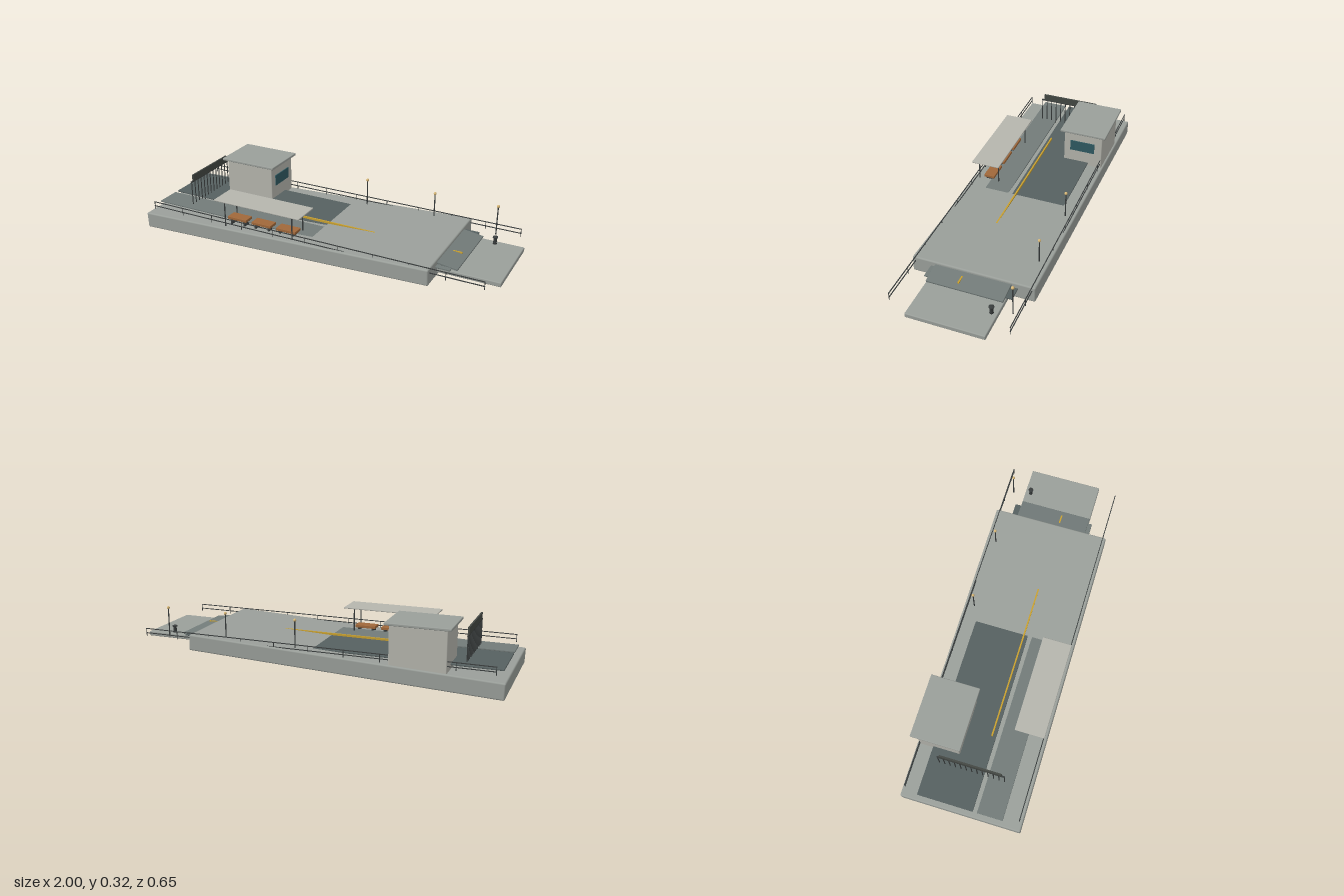
import * as THREE from 'three';
import { RoundedBoxGeometry } from 'three/addons/geometries/RoundedBoxGeometry.js';

const mat = (color) => new THREE.MeshStandardMaterial({ color });
const M = {
  deck: mat(0x9a9f9a), wall: mat(0xb5b5ad), darkPanel: mat(0x566060), panel: mat(0x727b79),
  metal: mat(0x3a3e3e), board: mat(0x444844), glass: mat(0x2f5a62), wood: mat(0xa0683a),
  yellow: mat(0xc8a030), lamp: mat(0xd8b878),
};

export function createModel() {
  const root = new THREE.Group();

  const add = (name, geometry, material, x, y, z, parent = root) => {
    const mesh = new THREE.Mesh(geometry, material);
    mesh.name = name;
    mesh.position.set(x, y, z);
    parent.add(mesh);
    return mesh;
  };
  // Box given by its limits on each axis, with optional rounded edges
  const box = (name, material, [x0, x1], [y0, y1], [z0, z1], r = 0, parent = root) => {
    const s = [x1 - x0, y1 - y0, z1 - z0];
    const g = r ? new RoundedBoxGeometry(...s, 2, r) : new THREE.BoxGeometry(...s);
    return add(name, g, material, (x0 + x1) / 2, (y0 + y1) / 2, (z0 + z1) / 2, parent);
  };
  // Upright round post
  const post = (name, material, x, z, y0, y1, r, parent = root) =>
    add(name, new THREE.CylinderGeometry(r, r, y1 - y0, 10), material, x, (y0 + y1) / 2, z, parent);
  const group = (name) => {
    const g = new THREE.Group();
    g.name = name;
    root.add(g);
    return g;
  };

  // Sloping main slab and level end platform
  const slab = add('mainSlab', new RoundedBoxGeometry(1.678, 0.086, 0.64, 3, 0.008), M.deck, -0.16, 0.0765, 0.004);
  slab.rotation.z = 0.04;
  box('endPlatform', M.deck, [0.64, 1], [0.086, 0.111], [-0.198, 0.205], 0.005);

  // Level floor panels that sink into the slope
  box('darkFloorPanel', M.darkPanel, [-0.975, 0.752], [0.118, 0.126], [-0.228, 0.068], 0.002);
  box('floorPanel', M.panel, [-0.975, 0.752], [0.118, 0.126], [0.09, 0.225], 0.002);
  box('yellowStrip', M.yellow, [-0.58, 0.752], [0.122, 0.137], [0.042, 0.05]);

  // Ramp down to the platform
  const ramp = box('ramp', M.panel, [0.635, 0.783], [0.126, 0.136], [-0.195, 0.202], 0.002);
  ramp.rotation.z = -0.14;

  // Cabin
  const cabin = group('cabin');
  box('cabinWalls', M.wall, [-0.717, -0.425], [0.09, 0.31], [-0.305, -0.084], 0.005, cabin);
  box('cabinRoof', M.deck, [-0.738, -0.405], [0.311, 0.325], [-0.325, -0.064], 0.004, cabin);
  box('cabinWindow', M.glass, [-0.43, -0.42], [0.196, 0.257], [-0.261, -0.121], 0, cabin);

  // Canopy on four posts
  const canopy = group('canopy');
  box('canopyRoof', M.wall, [-0.543, -0.027], [0.251, 0.259], [0.157, 0.313], 0.003, canopy);
  for (const x of [-0.49, -0.08])
    for (const z of [0.18, 0.292]) post('canopyPost', M.metal, x, z, 0.1, 0.252, 0.0035, canopy);

  // Benches below the canopy
  for (const x of [-0.435, -0.285, -0.135]) {
    const bench = group('bench');
    box('benchSeat', M.wood, [x - 0.058, x + 0.058], [0.137, 0.152], [0.205, 0.265], 0.002, bench);
    for (const s of [-1, 1])
      box('benchLeg', M.metal, [x + s * 0.04 - 0.005, x + s * 0.04 + 0.005], [0.105, 0.138], [0.212, 0.258], 0, bench);
  }

  // Barred screen with a board on top
  const screen = group('barredScreen');
  for (let i = 0; i < 13; i++) post('bar', M.metal, -0.785, 0.177 - i * 0.029, 0.11, 0.26, 0.0028, screen);
  box('crossBeam', M.metal, [-0.789, -0.781], [0.256, 0.262], [-0.174, 0.18], 0, screen);
  box('screenBoard', M.board, [-0.789, -0.78], [0.26, 0.297], [-0.16, 0.164], 0, screen);

  // Side railings
  for (const z of [-0.298, 0.306]) {
    const railing = group('railing');
    for (const y of [0.157, 0.133])
      box('rail', M.metal, [-0.952, 0.952], [y - 0.002, y + 0.002], [z - 0.002, z + 0.002], 0, railing);
    for (let i = 0; i <= 10; i++) post('railPost', M.metal, -0.95 + i * 0.19, z, 0.115, 0.159, 0.0018, railing);
  }

  // Lamp posts
  for (const x of [0.085, 0.482, 0.828]) {
    const lamp = group('lampPost');
    post('lampPole', M.metal, x, -0.263, 0.115, 0.272, 0.0032, lamp);
    add('lampGlobe', new THREE.SphereGeometry(0.008, 16, 12), M.lamp, x, 0.276, -0.263, lamp);
  }

  // Mooring bollard
  const profile = [[0, 0.11], [0.011, 0.11], [0.009, 0.118], [0.009, 0.143], [0.0135, 0.146], [0.0135, 0.151], [0, 0.152]];
  add('bollard', new THREE.LatheGeometry(profile.map((p) => new THREE.Vector2(...p)), 18), M.metal, 0.853, 0, -0.167);

  return root;
}
